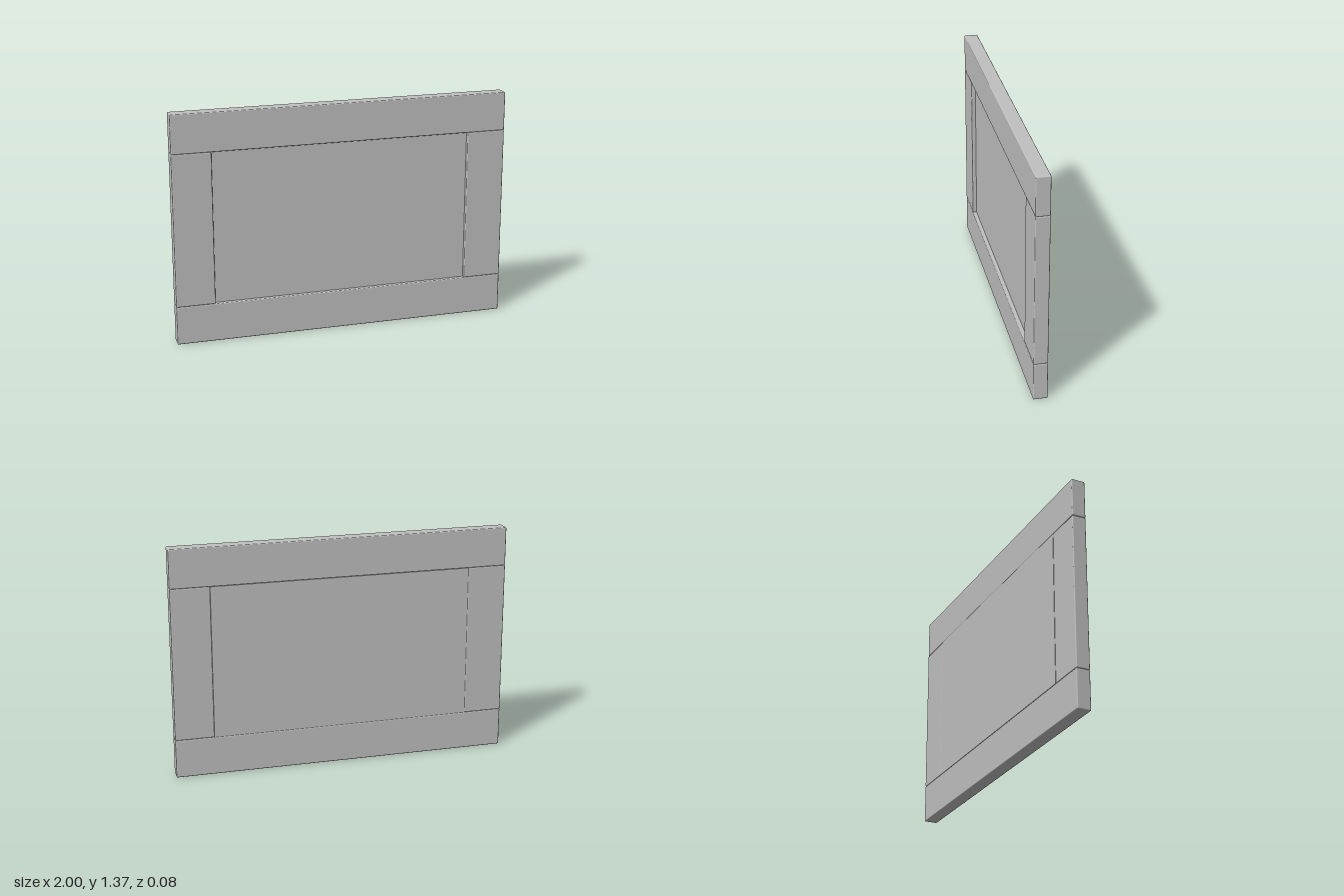
import * as THREE from 'three';
import { RoundedBoxGeometry } from 'three/addons/geometries/RoundedBoxGeometry.js';

const WIDTH = 2, HEIGHT = 1.37, DEPTH = 0.082;
const BOARD = 0.23;   // width of every frame board
const EDGE = 0.006;   // softened board edges
const RECESS = 0.024; // panel set back from the front

export function createModel() {
  const group = new THREE.Group();
  group.name = 'framedPanel';
  const grey = new THREE.MeshStandardMaterial({ color: 0xc0c0c0 });
  grey.name = 'lightGrey';

  const add = (name, geometry, x, y, z = 0) => {
    const mesh = new THREE.Mesh(geometry, grey);
    mesh.name = name;
    mesh.position.set(x, y, z);
    group.add(mesh);
  };
  const board = (w, h) => new RoundedBoxGeometry(w, h, DEPTH, 2, EDGE);

  const innerW = WIDTH - 2 * BOARD;
  const innerH = HEIGHT - 2 * BOARD;

  // Full-width rails
  add('bottomRail', board(WIDTH, BOARD), 0, BOARD / 2);
  add('topRail', board(WIDTH, BOARD), 0, HEIGHT - BOARD / 2);

  // Stiles between the rails
  for (const side of [-1, 1]) {
    add(side > 0 ? 'leftStile' : 'rightStile', board(BOARD, innerH),
      side * (WIDTH - BOARD) / 2, HEIGHT / 2);
  }

  // Panel, recessed at the front and nearly flush at the back
  add('panel', new THREE.BoxGeometry(innerW, innerH, DEPTH - RECESS),
    0, HEIGHT / 2, -RECESS / 2);

  return group;
}
